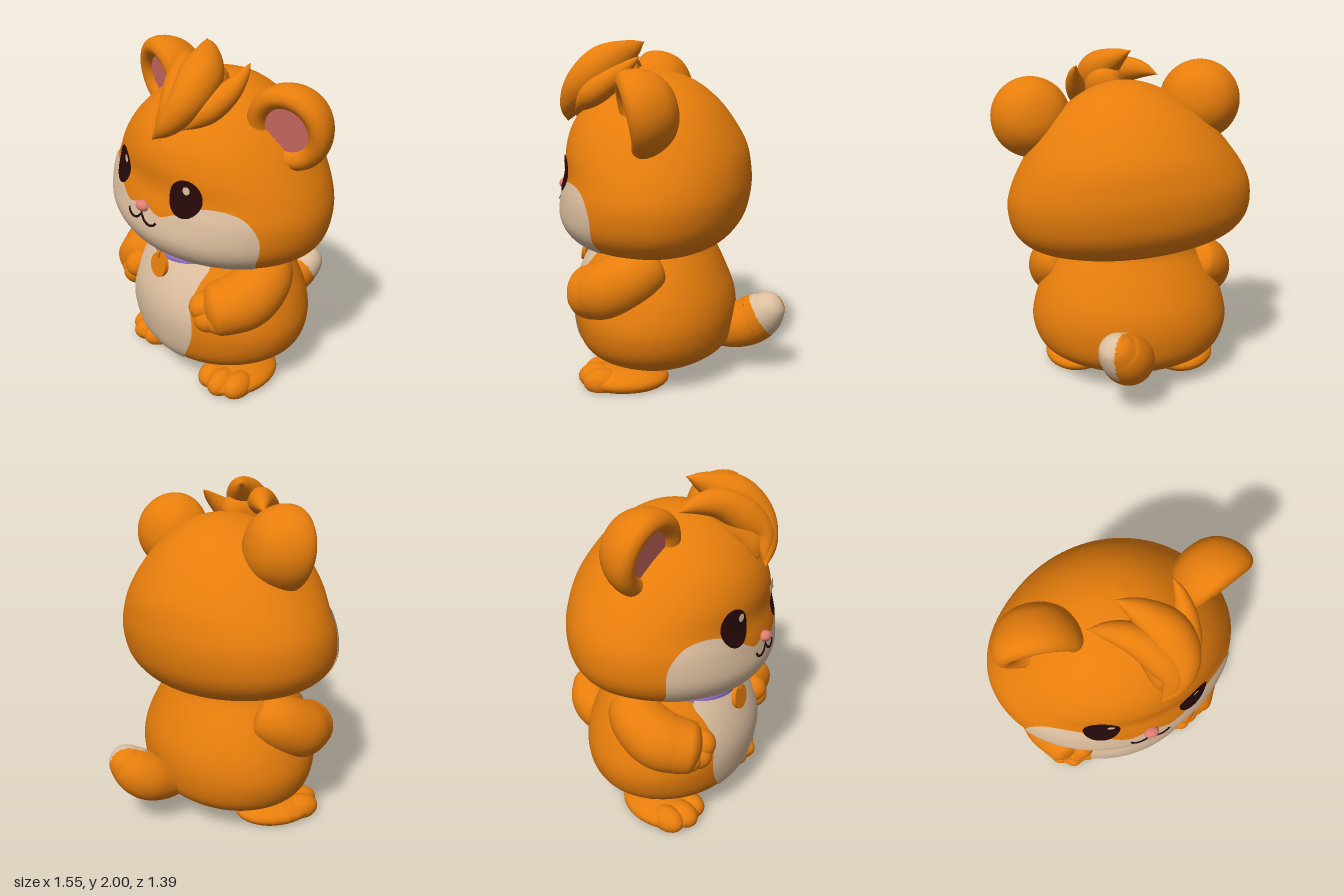
import * as THREE from 'three';
import { mergeVertices } from 'three/addons/utils/BufferGeometryUtils.js';

const mat = (name, color, side = THREE.FrontSide) => {
  const m = new THREE.MeshStandardMaterial({ color, side });
  m.name = name;
  return m;
};
const V = (x, y, z) => new THREE.Vector3(x, y, z);
const spline = (pts, closed = false) => new THREE.CatmullRomCurve3(pts, closed, 'catmullrom', 0.5);

// Smooth skin over a grid of points: fn(row 0..1, column 0..1)
function grid(rows, cols, fn) {
  const pos = [], index = [];
  for (let i = 0; i <= rows; i++) {
    for (let j = 0; j <= cols; j++) pos.push(...fn(i / rows, (j % cols) / cols).toArray());
  }
  for (let i = 0; i < rows; i++) {
    for (let j = 0; j < cols; j++) {
      const a = i * (cols + 1) + j, c = a + cols + 1;
      index.push(a, a + 1, c, a + 1, c + 1, c);
    }
  }
  let g = new THREE.BufferGeometry();
  g.setAttribute('position', new THREE.Float32BufferAttribute(pos, 3));
  g.setIndex(index);
  g = mergeVertices(g, 1e-5);
  g.computeVertexNormals();
  return g;
}

// Sorts faces into two material groups: those whose centre meets the rule come second
function splitFaces(g, rule) {
  const ids = g.index.array, p = g.attributes.position, parts = [[], []];
  for (let i = 0; i < ids.length; i += 3) {
    const face = [ids[i], ids[i + 1], ids[i + 2]];
    const c = V(0, 0, 0);
    face.forEach((k) => c.add(V(p.getX(k), p.getY(k), p.getZ(k))));
    parts[rule(c.divideScalar(3)) ? 1 : 0].push(...face);
  }
  g.setIndex([...parts[0], ...parts[1]]);
  g.addGroup(0, parts[0].length, 0);
  g.addGroup(parts[0].length, parts[1].length, 1);
  return g;
}

// Rounded volume from horizontal sections [y, half width, front depth, back depth]
function volume(sections, cz) {
  const front = spline(sections.map(([y, w, f]) => V(w, y, f)));
  const back = spline(sections.map(([y, w, , b]) => V(w, y, b)));
  const at = (t, phi, lift = 0) => {
    const p = front.getPoint(t), b = back.getPoint(t).z;
    const depth = Math.max(0, Math.cos(phi) > 0 ? p.z : b) + lift;
    return V((Math.max(0, p.x) + lift) * Math.sin(phi), p.y, cz + depth * Math.cos(phi));
  };
  const tOf = (y) => {
    let lo = 0, hi = 1;
    for (let k = 0; k < 30; k++) {
      const m = (lo + hi) / 2;
      if (front.getPoint(m).y < y) lo = m; else hi = m;
    }
    return lo;
  };
  const phiOf = (x, y) => Math.asin(THREE.MathUtils.clamp(x / front.getPoint(tOf(y)).x, -1, 1));
  return {
    geometry: grid(64, 96, (r, c) => at(r, c * Math.PI * 2)),
    onFront: (x, y, lift) => at(tOf(y), phiOf(x, y), lift),
    // Thin painted face lying on the front; outline runs clockwise around (cx, cy)
    patch(outline, cx, cy, lift) {
      const curve = spline(outline.map(([x, y]) => V(x, y, 0)), true), c0 = phiOf(cx, cy);
      return grid(20, 96, (r, c) => {
        const p = curve.getPoint(c);
        return at(tOf(cy + (p.y - cy) * r), c0 + (phiOf(p.x, p.y) - c0) * r, lift);
      });
    },
  };
}

const mirrorOutline = (half) => [...half, ...half.slice(1, -1).reverse().map(([x, y]) => [-x, y])];
const oval = (cx, cy, rx, ry) => Array.from({ length: 12 }, (_, i) => {
  const a = -i * Math.PI / 6;
  return [cx + rx * Math.cos(a), cy + ry * Math.sin(a)];
});

// Round limb along points [x, y, z, radius] with rounded ends
function limb(pts) {
  const path = spline(pts.map(([x, y, z]) => V(x, y, z)));
  const radii = spline(pts.map((p) => V(p[3], 0, 0)));
  const n = 64, cap = 0.12, frames = path.computeFrenetFrames(n);
  return grid(n, 40, (t, c) => {
    const k = Math.round(t * n), a = c * Math.PI * 2;
    const e = Math.min(1, t / cap, (1 - t) / cap);
    const rad = Math.max(0, radii.getPoint(t).x) * Math.sqrt(Math.max(0, 1 - (1 - e) ** 2));
    return path.getPoint(t)
      .addScaledVector(frames.normals[k], rad * Math.cos(a))
      .addScaledVector(frames.binormals[k], rad * Math.sin(a));
  });
}

// Ellipsoid, optionally pressed flat onto the floor
function blob(x, y, z, rx, ry, rz, turn = 0, floor = false) {
  const g = new THREE.SphereGeometry(1, 32, 24).scale(rx, ry, rz).rotateY(turn).translate(x, y, z);
  if (floor) {
    const p = g.attributes.position;
    for (let i = 0; i < p.count; i++) p.setY(i, Math.max(0, p.getY(i)));
    g.computeVertexNormals();
  }
  return g;
}

export function createModel() {
  const fur = mat('orange fur', 0xe87e0c);
  const cream = mat('cream fur', 0xdec0a0, THREE.DoubleSide);
  const earPink = mat('ear pink', 0xd87168, THREE.DoubleSide);
  const nosePink = mat('nose pink', 0xe07d72);
  const dark = mat('dark brown', 0x260809, THREE.DoubleSide);
  const purple = mat('purple collar', 0xa07ee0);

  const model = new THREE.Group();
  const group = (name) => {
    const g = new THREE.Group();
    g.name = name;
    model.add(g);
    return g;
  };
  const add = (parent, name, geometry, material) => {
    const m = new THREE.Mesh(geometry, material);
    m.name = name;
    parent.add(m);
    return m;
  };

  // Torso and belly
  const body = group('body');
  body.position.x = -0.05;
  const torso = volume([
    [0.045, 0, 0, 0], [0.06, 0.22, 0.2, 0.17], [0.1, 0.39, 0.35, 0.32], [0.2, 0.545, 0.45, 0.45],
    [0.35, 0.605, 0.49, 0.49], [0.5, 0.585, 0.495, 0.48], [0.65, 0.52, 0.455, 0.425],
    [0.8, 0.42, 0.38, 0.355], [0.93, 0.33, 0.28, 0.29], [0.96, 0, 0, 0],
  ], 0.1);
  add(body, 'torso', torso.geometry, fur);
  add(body, 'belly', torso.patch(mirrorOutline([
    [0, 0.83], [0.27, 0.8], [0.28, 0.68], [0.27, 0.58], [0.295, 0.45], [0.28, 0.34],
    [0.2, 0.2], [0.1, 0.11], [0, 0.085],
  ]), 0, 0.45, 0.008), cream);

  // Arms and feet
  for (const s of [1, -1]) {
    const side = s > 0 ? 'left' : 'right';
    add(body, side + 'Arm', limb([
      [s * 0.37, 0.75, 0.03, 0.12], [s * 0.45, 0.7, 0.12, 0.16], [s * 0.468, 0.62, 0.26, 0.175],
      [s * 0.425, 0.58, 0.37, 0.165], [s * 0.36, 0.555, 0.5, 0.14],
    ]), fur);
    [[0.435, 0.52, 0.43], [0.37, 0.515, 0.46], [0.335, 0.575, 0.465]].forEach(([x, y, z]) =>
      add(body, side + 'Finger', blob(s * x, y, z, 0.085, 0.088, 0.1), fur));
    add(body, side + 'Foot', blob(s * 0.35, 0.045, 0.225, 0.195, 0.085, 0.26, s * 0.2, true), fur);
    [[0.285, 0.375], [0.385, 0.385], [0.465, 0.335]].forEach(([x, z]) =>
      add(body, side + 'Toe', blob(s * x, 0.05, z, 0.077, 0.078, 0.11, s * 0.2, true), fur));
  }

  // Tail, cream on the left side of the tip
  const tail = limb([
    [-0.01, 0.25, -0.2, 0.1], [-0.01, 0.275, -0.38, 0.138], [0.0, 0.325, -0.505, 0.147],
    [0.05, 0.4, -0.58, 0.122], [0.085, 0.5, -0.635, 0.065],
  ]);
  add(body, 'tail', splitFaces(tail, (c) =>
    c.x > -0.01 + 0.38 * (-c.z - 0.48) && -c.z > 0.48 + 0.63 * (0.47 - c.y)), [fur, cream]);

  // Collar with a round tag
  const collar = add(body, 'collar',
    new THREE.TorusGeometry(0.36, 0.034, 16, 72).rotateX(Math.PI / 2).scale(0.97, 1.25, 0.97), purple);
  collar.position.set(0, 0.818, 0.135);
  collar.rotation.x = 0.1;
  const tag = add(body, 'tag', new THREE.CylinderGeometry(0.072, 0.072, 0.025, 32).rotateX(Math.PI / 2), fur);
  tag.position.set(0, 0.725, 0.545);
  tag.rotation.x = -0.2;
  const ring = add(body, 'tagRing', new THREE.TorusGeometry(0.027, 0.01, 8, 24).rotateY(Math.PI / 2), fur);
  ring.position.set(0, 0.795, 0.525);

  // Head, tilted to one side
  const head = group('head');
  head.position.set(-0.045, 1.15, 0.08);
  head.rotation.set(0, 0.06, -0.095);
  const skull = volume([
    [-0.345, 0, 0, 0], [-0.335, 0.34, 0.31, 0.26], [-0.3, 0.53, 0.475, 0.38], [-0.24, 0.65, 0.55, 0.46],
    [-0.14, 0.72, 0.59, 0.525], [0, 0.735, 0.574, 0.555], [0.12, 0.7, 0.545, 0.552],
    [0.25, 0.625, 0.545, 0.525], [0.38, 0.53, 0.505, 0.455], [0.5, 0.41, 0.415, 0.365],
    [0.6, 0.27, 0.285, 0.25], [0.66, 0.14, 0.15, 0.13], [0.685, 0, 0, 0],
  ], 0);
  add(head, 'skull', skull.geometry, fur);
  add(head, 'muzzle', skull.patch(mirrorOutline([
    [0, 0.015], [0.12, -0.02], [0.22, 0.02], [0.33, 0.085], [0.45, 0.105], [0.55, 0.08], [0.615, 0.01],
    [0.635, -0.08], [0.61, -0.18], [0.54, -0.265], [0.34, -0.305], [0, -0.315],
  ]), 0, -0.12, 0.008), cream);
  add(head, 'nose', blob(0, -0.005, 0.585, 0.045, 0.031, 0.035), nosePink);
  const mouth = [[-0.12, -0.06], [-0.105, -0.082], [-0.07, -0.095], [-0.03, -0.082], [0, -0.055],
    [0.03, -0.082], [0.07, -0.095], [0.105, -0.082], [0.12, -0.06]];
  add(head, 'mouth', new THREE.TubeGeometry(
    spline(mouth.map(([x, y]) => skull.onFront(x, y, 0.008))), 48, 0.007, 8), dark);
  add(head, 'lipLine', new THREE.TubeGeometry(
    spline([-0.02, -0.04, -0.06].map((y) => skull.onFront(0, y, 0.008))), 8, 0.006, 8), dark);

  // Eyes and ears
  const earProfile = [[0, -0.185], [0.09, -0.172], [0.17, -0.125], [0.222, -0.045], [0.24, 0.03], [0.228, 0.085],
    [0.185, 0.11], [0.14, 0.09], [0.118, 0.04]];
  const earCurve = new THREE.SplineCurve(earProfile.map(([r, y]) => new THREE.Vector2(r, y)));
  const earPoints = earCurve.getPoints(36).map((p) => p.setX(Math.max(0, p.x)));
  for (const s of [1, -1]) {
    const side = s > 0 ? 'left' : 'right';
    const ex = s * 0.272 - 0.004, ey = 0.125;
    add(head, side + 'Eye', skull.patch(oval(ex, ey, 0.096, 0.105), ex, ey, 0.01), dark);
    const gx = ex + 0.024 - s * 0.02, gy = ey + 0.05;
    add(head, side + 'EyeGlint', skull.patch(oval(gx, gy, 0.02, 0.023), gx, gy, 0.015), cream);
    const ear = new THREE.Group();
    ear.name = side + 'Ear';
    ear.position.set(s * 0.498 + 0.024, 0.52, 0.02 - s * 0.01);
    ear.rotation.set(0.2, s * 0.23 + 0.06, 0);
    head.add(ear);
    add(ear, 'earShell', new THREE.LatheGeometry(earPoints, 48).rotateX(Math.PI / 2), fur);
    add(ear, 'innerEar', new THREE.CircleGeometry(0.13, 40).translate(0, 0, 0.066), earPink);
  }

  // Swept tuft of hair
  const hair = group('hair');
  [
    [[0.04, 1.53, 0.62, 0.01], [0.14, 1.64, 0.565, 0.07], [0.185, 1.76, 0.475, 0.105],
      [0.145, 1.86, 0.36, 0.118], [0.05, 1.935, 0.25, 0.07], [-0.06, 1.995, 0.17, 0.005]],
    [[0.05, 1.56, 0.61, 0.01], [0.12, 1.68, 0.55, 0.07], [0.09, 1.78, 0.455, 0.1],
      [0, 1.86, 0.36, 0.085], [-0.11, 1.875, 0.28, 0.055], [-0.22, 1.85, 0.22, 0.005]],
    [[0.19, 1.6, 0.53, 0.01], [0.25, 1.69, 0.42, 0.07], [0.28, 1.77, 0.3, 0.065],
      [0.285, 1.85, 0.2, 0.035], [0.265, 1.91, 0.13, 0.005]],
    [[0.06, 1.56, 0.56, 0.03], [0.1, 1.67, 0.47, 0.11], [0.11, 1.75, 0.36, 0.13],
      [0.09, 1.8, 0.26, 0.115], [0.05, 1.8, 0.17, 0.05]],
  ].forEach((lock) => add(hair, 'hairLock', limb(lock), fur));

  return model;
}
